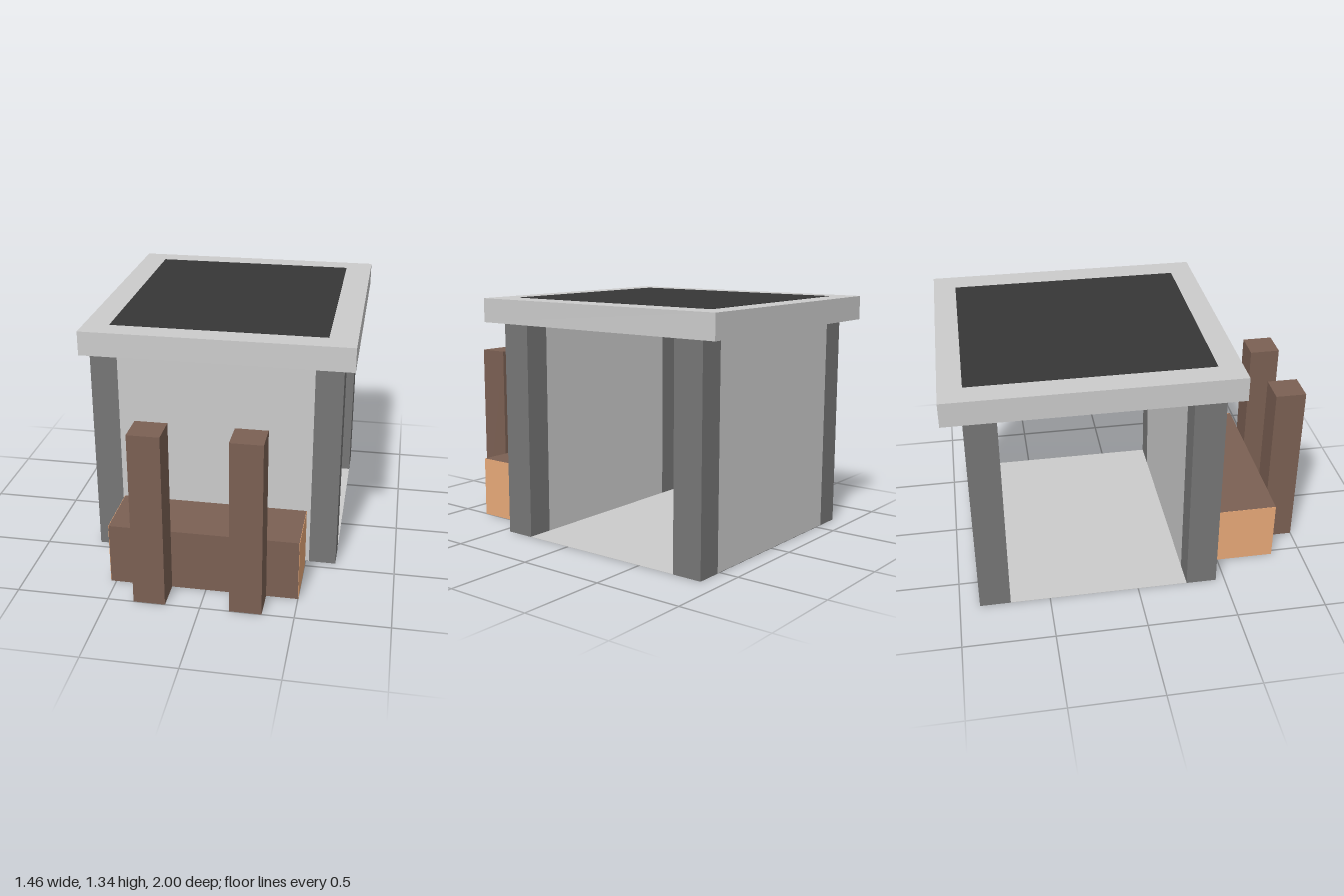
import * as THREE from 'three';

const material = (color) => new THREE.MeshStandardMaterial({ color });

// Box given by its extents along each axis
function block(name, [x0, x1], [y0, y1], [z0, z1], mat) {
  const mesh = new THREE.Mesh(new THREE.BoxGeometry(x1 - x0, y1 - y0, z1 - z0), mat);
  mesh.name = name;
  mesh.position.set((x0 + x1) / 2, (y0 + y1) / 2, (z0 + z1) / 2);
  return mesh;
}

export function createModel() {
  const model = new THREE.Group();
  model.name = 'shelter';
  const grey = material(0xcccccc);
  const dark = material(0x767676);
  const black = material(0x363636);
  const brown = material(0x7b6053);
  const tan = material(0xe8a979);
  const skin = 0.002;

  // Front and back walls: corner pillars, pale panel and a dark sill underneath
  const walls = { front: [0.28, 0.45], back: [-0.89, -0.72] };
  for (const [side, z] of Object.entries(walls)) {
    const wall = new THREE.Group();
    wall.name = side + 'Wall';
    wall.add(
      block('rightPillar', [-0.7, -0.55], [0, 1.21], z, dark),
      block('leftPillar', [0.52, 0.67], [0, 1.21], z, dark),
      block('panel', [-0.55, 0.52], [skin, 1.21], z, grey),
      block('sill', [-0.55, 0.52], [0, skin], z, dark),
    );
    model.add(wall);
  }

  // Thin floor between the walls, open at both ends
  model.add(block('floor', [-0.7, 0.67], [0, skin], [-0.72, 0.28], grey));

  // Flat roof slab with a dark inset showing above and below
  const roof = new THREE.Group();
  roof.name = 'roof';
  roof.add(
    block('roofSlab', [-0.73, 0.73], [1.205, 1.338], [-1, 0.55], grey),
    block('roofInset', [-0.59, 0.58], [1.205 - skin, 1.338 + skin], [-0.875, 0.42], black),
  );
  model.add(roof);

  // Timber bench with pale end grain
  const bench = new THREE.Group();
  bench.name = 'bench';
  const by = [0, 0.346], bz = [0.487, 0.829];
  bench.add(
    block('beam', [-0.53 + skin, 0.502 - skin], by, bz, brown),
    block('rightEndGrain', [-0.53, -0.53 + skin], by, bz, tan),
    block('leftEndGrain', [0.502 - skin, 0.502], by, bz, tan),
  );
  model.add(bench);

  // Two upright posts in front of the bench
  for (const [name, x] of [['rightPost', -0.358], ['leftPost', 0.158]]) {
    model.add(block(name, [x, x + 0.171], [0, 0.98], [0.829, 1], brown));
  }
  return model;
}
